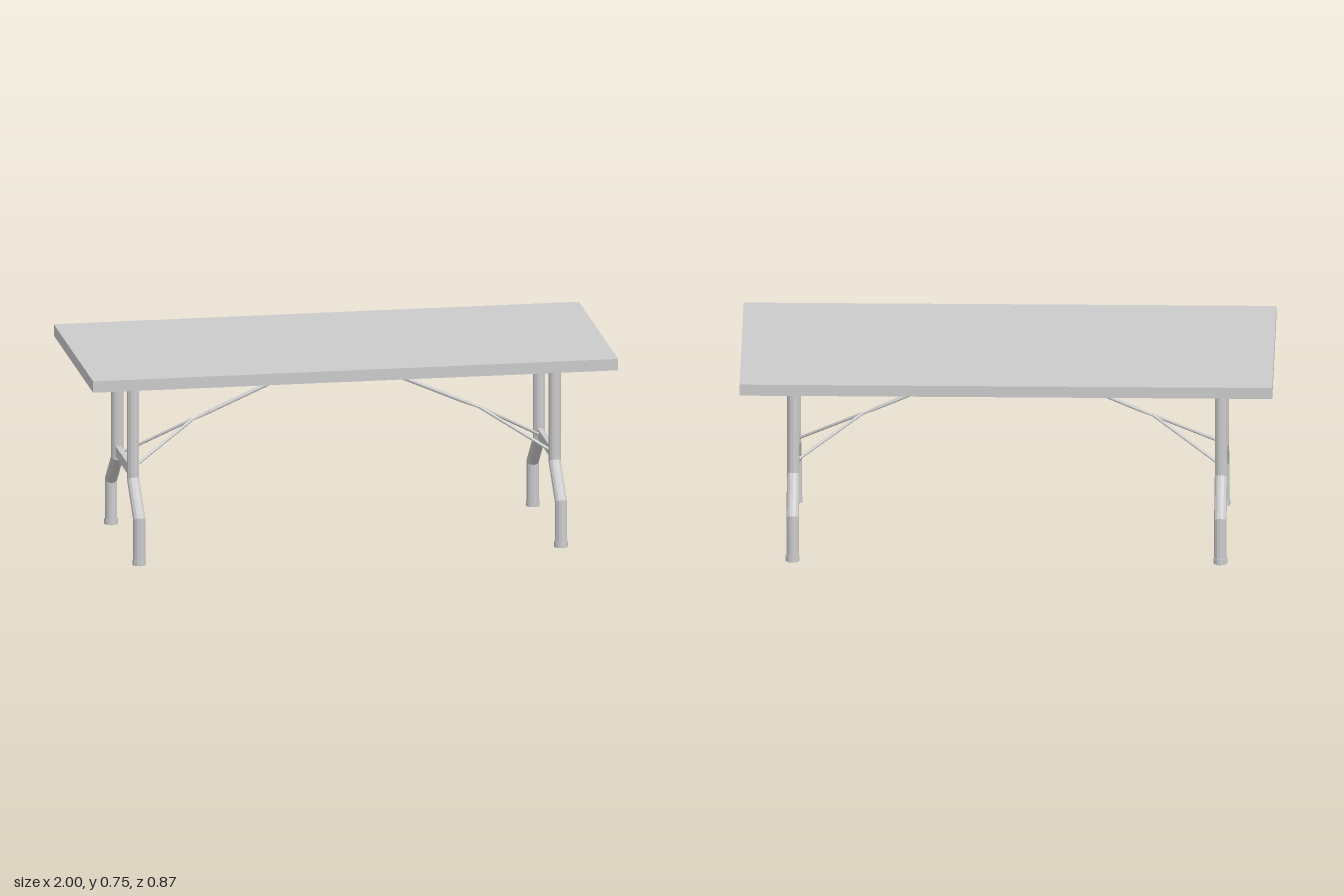
import * as THREE from 'three';

const material = new THREE.MeshStandardMaterial({ color: 0xcccccc, flatShading: true });
const V = (x, y, z) => new THREE.Vector3(x, y, z);

function add(parent, name, geometry, x = 0, y = 0, z = 0) {
  const mesh = new THREE.Mesh(geometry, material);
  mesh.name = name;
  mesh.position.set(x, y, z);
  parent.add(mesh);
  return mesh;
}

// Straight rod between two points, optionally tapered
function rod(parent, name, a, b, rA, rB = rA, sides = 8) {
  const dir = b.clone().sub(a);
  const mid = a.clone().add(b).multiplyScalar(0.5);
  const mesh = add(parent, name, new THREE.CylinderGeometry(rB, rA, dir.length(), sides), mid.x, mid.y, mid.z);
  mesh.quaternion.setFromUnitVectors(V(0, 1, 0), dir.normalize());
  return mesh;
}

// Round tube with mitred bends along a path in the y-z plane
function mitredTube(path, radius, sides) {
  const u = V(1, 0, 0), position = [], index = [];
  const normals = path.slice(1).map((p, i) => p.clone().sub(path[i]).normalize().cross(u));
  path.forEach((p, i) => {
    const a = normals[Math.max(i - 1, 0)];
    const b = normals[Math.min(i, normals.length - 1)];
    const v = a.clone().add(b).divideScalar(1 + a.dot(b));
    for (let j = 0; j < sides; j++) {
      const t = (j / sides) * Math.PI * 2;
      const q = p.clone().addScaledVector(u, radius * Math.cos(t)).addScaledVector(v, radius * Math.sin(t));
      position.push(q.x, q.y, q.z);
      if (i < path.length - 1) {
        const k = i * sides, n = (j + 1) % sides;
        index.push(k + j, k + n, k + n + sides, k + j, k + n + sides, k + j + sides);
      }
    }
  });
  const geometry = new THREE.BufferGeometry();
  geometry.setAttribute('position', new THREE.Float32BufferAttribute(position, 3));
  geometry.setIndex(index);
  geometry.computeVertexNormals();
  return geometry;
}

export function createModel() {
  const model = new THREE.Group();
  model.name = 'foldingTable';
  add(model, 'tableTop', new THREE.BoxGeometry(2, 0.044, 0.874), 0, 0.728, 0);

  const legPath = [V(0, 0.71, 0.174), V(0, 0.297, 0.174), V(0, 0.174, 0.313), V(0, 0.01, 0.313)];
  const legGeometry = mitredTube(legPath, 0.0235, 12);
  const footGeometry = new THREE.CylinderGeometry(0.026, 0.026, 0.022, 12);

  for (const side of [1, -1]) {
    const end = new THREE.Group();
    end.name = side > 0 ? 'leftLegFrame' : 'rightLegFrame';
    end.rotation.y = side > 0 ? 0 : Math.PI;
    model.add(end);

    // Cranked legs with foot caps
    for (const z of [1, -1]) {
      const leg = new THREE.Group();
      leg.name = 'leg';
      leg.position.x = 0.803;
      leg.rotation.y = z > 0 ? 0 : Math.PI;
      add(leg, 'legTube', legGeometry);
      add(leg, 'footCap', footGeometry, 0, 0.011, 0.313);
      end.add(leg);
    }
    add(end, 'crossbar', new THREE.BoxGeometry(0.02, 0.041, 0.32), 0.803, 0.321, 0);

    // Folding brace: central strut, pinched end, forked arms
    const knee = V(0.485, 0.499, 0);
    rod(end, 'braceStrut', V(0, 0.711, 0), knee, 0.008);
    rod(end, 'braceTip', knee, V(0.565, 0.462, 0), 0.008, 0.002);
    for (const z of [1, -1]) {
      rod(end, 'braceArm', V(0.545, 0.474, 0), V(0.797, 0.324, z * 0.12), 0.006);
    }
  }
  return model;
}
